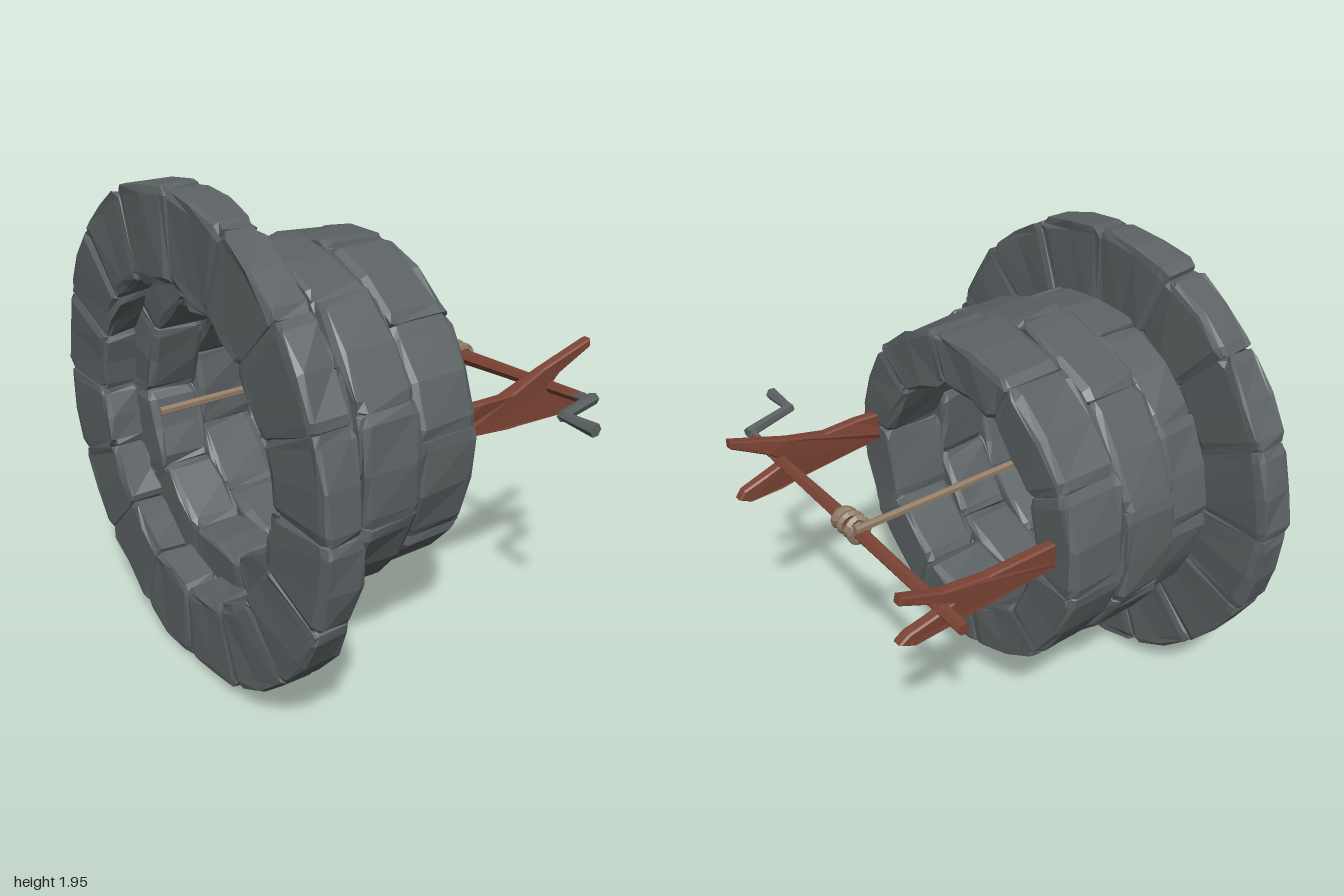
import * as THREE from 'three';

const CX = -0.03, CY = 0.98; // axis of the stone shaft, running along z
const mat = (color) => new THREE.MeshStandardMaterial({ color, flatShading: true });

// repeatable noise in -1..1
const noise = (...k) => {
  const s = Math.sin(k.reduce((a, v, i) => a + v * (12.9898 + 41.37 * i), 4.1)) * 43758.5453;
  return 2 * (s - Math.floor(s)) - 1;
};

// one rough block with chipped edges, bent into a sector of a ring;
// its inner face is a flat chord, its outer face flattened by the factor flat
function stone(r0, r1, a0, a1, z0, z1, flat, seed, material) {
  const g = new THREE.BoxGeometry(2, 2, 2, 3, 4, 3);
  const p = g.attributes.position;
  const rm = (r0 + r1) / 2, rh = (r1 - r0) / 2 + 0.005 * noise(seed, 7);
  const am = (a0 + a1) / 2, zm = (z0 + z1) / 2, zh = (z1 - z0) / 2;
  const ah = (a1 - a0) / 2;
  const tilt = 0.014 * noise(seed, 3);
  const spread = (t) => (Math.abs(t) > 0.9 ? Math.sign(t) : Math.abs(t) < 0.1 ? 0 : Math.sign(t) * 0.78);
  for (let i = 0; i < p.count; i++) {
    const [u, v, w] = [p.getX(i), p.getY(i), p.getZ(i)].map(spread);
    const edge = [u, v, w].filter((t) => Math.abs(t) === 1).length - 1;
    const chip = edge * 0.009 + (edge ? 0.006 * noise(u, v, w, seed) : 0);
    const chord = Math.cos(ah) / Math.cos(v * ah);
    const bend = THREE.MathUtils.lerp(1, chord, u < 0 ? 1 : flat);
    const inner = u < 0 ? tilt * w : 0;
    const r = (rm + u * (rh - chip)) * bend + inner + 0.009 * noise(seed, u, v, w);
    const a = am + v * (ah - (chip * 0.5 - 0.002) / r) + (0.004 / r) * noise(w, seed, u, v);
    const z = zm + w * (zh + 0.001 - chip * 0.5) + 0.007 * noise(v, w, seed, u);
    p.setXYZ(i, CX + r * Math.cos(a), CY + r * Math.sin(a), z);
  }
  g.computeVertexNormals();
  const m = new THREE.Mesh(g, material);
  m.name = 'stone';
  return m;
}

function stoneRing(name, count, startDeg, r0, r1, z0, z1, flat, seed, material) {
  const ring = new THREE.Group();
  ring.name = name;
  const step = (Math.PI * 2) / count, start = THREE.MathUtils.degToRad(startDeg);
  for (let i = 0; i < count; i++) {
    const a = start + i * step;
    ring.add(stone(r0, r1, a, a + step, z0, z1, flat, seed + i, material));
  }
  return ring;
}

// straight tapered bar between two points
function bar(name, from, to, rFrom, rTo, sides, material) {
  const a = new THREE.Vector3(...from), b = new THREE.Vector3(...to);
  const d = b.clone().sub(a);
  const m = new THREE.Mesh(new THREE.CylinderGeometry(rTo, rFrom, d.length(), sides), material);
  m.position.copy(a).add(b).multiplyScalar(0.5);
  m.quaternion.setFromUnitVectors(new THREE.Vector3(0, 1, 0), d.normalize());
  m.name = name;
  return m;
}

// forked plank standing out of the wall towards -z; bow bends it sideways
function forkedPost(name, xBase, xTip, bow, outline, material) {
  const shape = new THREE.Shape(outline.map(([s, y]) => new THREE.Vector2(s, y)));
  const g = new THREE.ExtrudeGeometry(shape, {
    depth: 0.03, bevelEnabled: true, bevelSize: 0.006, bevelThickness: 0.008, bevelSegments: 1,
  });
  g.translate(0, 0, -0.015);
  g.rotateY(Math.PI / 2);
  const p = g.attributes.position;
  for (let i = 0; i < p.count; i++) {
    const t = (-p.getZ(i) - 0.1) / 0.7;
    p.setX(i, p.getX(i) + xBase + (xTip - xBase) * t + bow * Math.sin(t * Math.PI * 2));
  }
  g.computeVertexNormals();
  const m = new THREE.Mesh(g, material);
  m.name = name;
  return m;
}

export function createModel() {
  const model = new THREE.Group();
  model.name = 'well';
  const rock = mat(0x5c6264), wood = mat(0x7c4435), rope = mat(0x917c66), metal = mat(0x5c6162);

  // wide footing and three staggered wall courses
  model.add(
    stoneRing('footing', 16, -0.5, 0.635, 0.972, 0.617, 0.77, 0, 100, rock),
    stoneRing('lowerCourse', 10, 0, 0.50, 0.692, 0.415, 0.63, 0.3, 200, rock),
    stoneRing('middleCourse', 10, 21, 0.50, 0.72, 0.165, 0.42, 0.3, 300, rock),
    stoneRing('upperCourse', 10, 7.5, 0.50, 0.71, -0.105, 0.17, 0.3, 400, rock),
  );

  // forked posts: outline as (distance outwards, height)
  model.add(
    forkedPost('leftPost', 0.562, 0.55, 0.014, [
      [0, 0.985], [0.1, 0.99], [0.35, 0.968], [0.6, 0.943], [0.74, 0.935], [0.785, 0.955], [0.765, 0.985],
      [0.66, 1.025], [0.56, 1.06], [0.64, 1.125], [0.795, 1.205], [0.795, 1.23],
      [0.55, 1.155], [0.36, 1.1], [0.2, 1.105], [0, 1.105],
    ], wood),
    forkedPost('rightPost', -0.605, -0.585, 0.003, [
      [0, 0.995], [0.1, 0.995], [0.35, 0.97], [0.55, 0.955], [0.72, 0.94], [0.775, 0.965], [0.74, 0.99],
      [0.64, 1.015], [0.55, 1.045], [0.64, 1.085], [0.77, 1.14], [0.765, 1.165],
      [0.6, 1.11], [0.4, 1.085], [0, 1.1],
    ], wood),
  );

  // axle, in two slightly crooked lengths
  model.add(
    bar('axle', [-0.73, 1.03, -0.6], [0.05, 1.05, -0.588], 0.026, 0.032, 6, wood),
    bar('axleEnd', [0.03, 1.05, -0.586], [0.74, 1.082, -0.595], 0.032, 0.022, 6, wood),
  );

  // crank
  const crank = new THREE.Group();
  crank.name = 'crank';
  crank.add(
    bar('crankShaft', [0.66, 1.08, -0.592], [0.79, 1.092, -0.588], 0.016, 0.02, 6, metal),
    bar('crankArm', [0.773, 1.092, -0.608], [0.842, 1.103, -0.36], 0.025, 0.022, 6, metal),
    bar('crankHandle', [0.825, 1.103, -0.37], [1.0, 1.103, -0.367], 0.017, 0.028, 6, metal),
  );
  model.add(crank);

  // hanging rope and the uneven coil wound on the axle
  model.add(bar('rope', [-0.1, 1.095, -0.63], [-0.1, 1.095, 0.8], 0.017, 0.017, 6, rope));
  const steps = 3.5 * 6, pts = [];
  for (let i = 0; i <= steps; i++) {
    const a = Math.PI / 2 + (i / 6) * Math.PI * 2;
    const r = 0.042 + 0.004 * noise(i, 5);
    const x = -0.085 + 0.145 * i / steps + 0.006 * noise(i, 9);
    pts.push(new THREE.Vector3(x, 1.053 + r * Math.sin(a), -0.59 + r * Math.cos(a)));
  }
  const coil = new THREE.Mesh(
    new THREE.TubeGeometry(new THREE.CatmullRomCurve3(pts), 48, 0.016, 5), rope);
  coil.name = 'ropeCoil';
  model.add(coil);

  return model;
}
